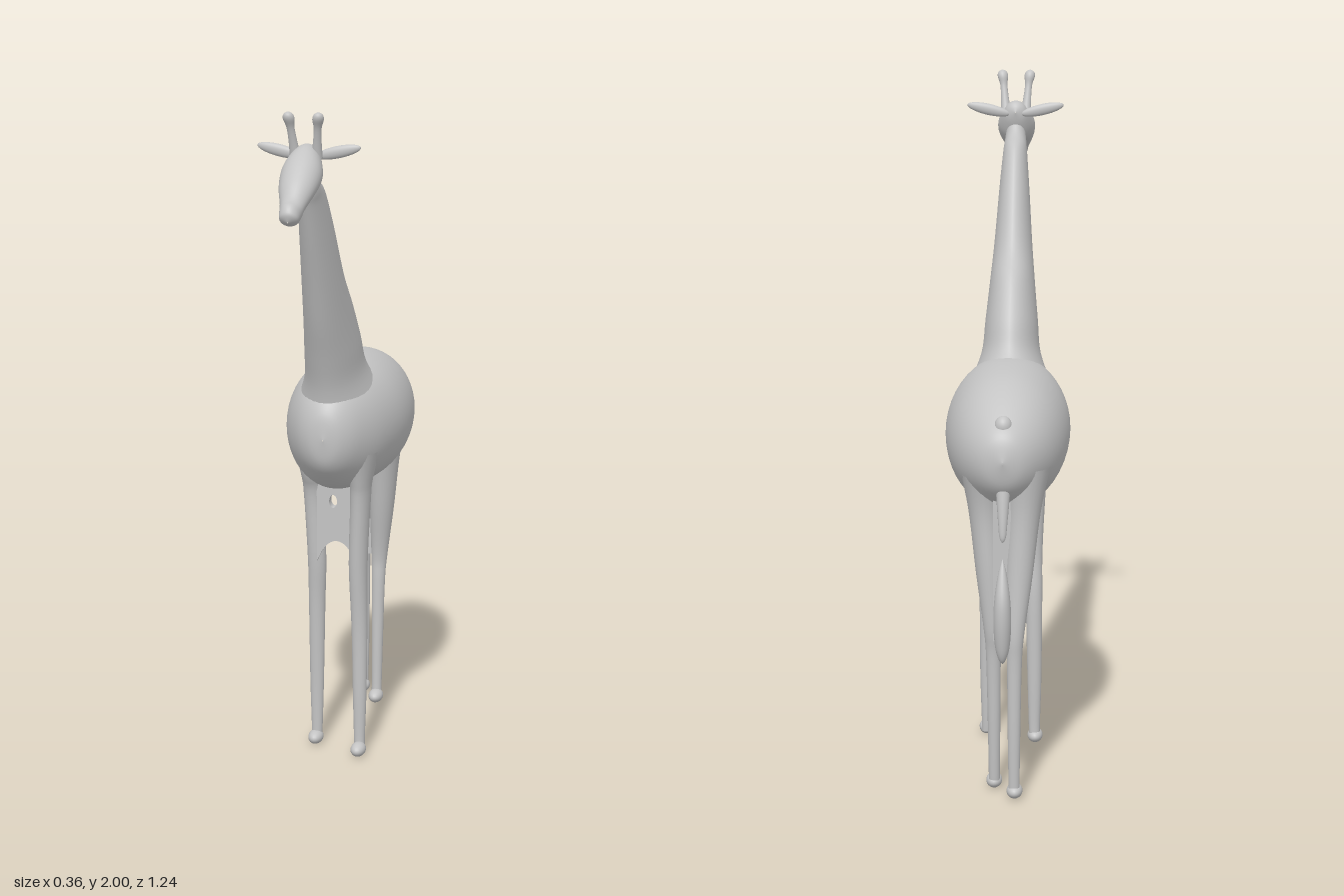
import * as THREE from 'three';

const hide = new THREE.MeshStandardMaterial({ color: 0xc4c4c4 });
hide.name = 'plain grey';

// Smooth skin over elliptical rings; a row is [cx, cy, cz, half width in x, second half axis y, z]
function loft(rows, steps = 5, sides = 32) {
  const first = rows[0], last = rows[rows.length - 1], mid = rows[rows.length >> 1];
  const flip = (last[2] - first[2]) * mid[4] - (last[1] - first[1]) * mid[5] < 0 ? -1 : 1;
  const at = (i) => rows[Math.max(0, Math.min(rows.length - 1, i))];
  const rings = [];
  for (let i = 0; i < rows.length - 1; i++) {
    for (let s = 0; s < steps; s++) {
      const t = s / steps;
      rings.push(first.map((_, k) => {
        const [a, b, c, d] = [at(i - 1)[k], at(i)[k], at(i + 1)[k], at(i + 2)[k]];
        return b + 0.5 * t * (c - a + t * (2 * a - 5 * b + 4 * c - d + t * (3 * (b - c) + d - a)));
      }));
    }
  }
  rings.push(last);
  const pos = [], index = [];
  rings.forEach(([x, y, z, w, ay, az], i) => {
    for (let j = 0; j < sides; j++) {
      const c = Math.cos((j / sides) * Math.PI * 2), s = flip * Math.sin((j / sides) * Math.PI * 2);
      pos.push(x + w * c, y + ay * s, z + az * s);
      if (i === rings.length - 1) continue;
      const a = i * sides + j, b = i * sides + ((j + 1) % sides);
      index.push(a, b, a + sides, b, b + sides, a + sides);
    }
  });
  const geo = new THREE.BufferGeometry();
  geo.setAttribute('position', new THREE.Float32BufferAttribute(pos, 3));
  geo.setIndex(index);
  geo.computeVertexNormals();
  return geo;
}

// Ring given by its two outline points in the side plane and its half width
const span = ([z1, y1, z2, y2, w]) => [0, (y1 + y2) / 2, (z1 + z2) / 2, w, (y1 - y2) / 2, (z1 - z2) / 2];
// Horizontal ring
const level = ([x, y, z, rx, rz]) => [x, y, z, rx, 0, rz];

export function createModel() {
  const group = new THREE.Group();
  const add = (name, geo) => {
    const mesh = new THREE.Mesh(geo, hide);
    mesh.name = name;
    group.add(mesh);
    return mesh;
  };
  const blob = (name, x, y, z, rx, ry, rz) => {
    const mesh = add(name, new THREE.SphereGeometry(1, 24, 16));
    mesh.position.set(x, y, z);
    mesh.scale.set(rx, ry, rz);
    return mesh;
  };

  // Barrel body: z, top, bottom, half width
  add('body', loft([
    [0.2, 1.025, 1.02, 0.001], [0.187, 1.1, 0.945, 0.05], [0.14, 1.16, 0.89, 0.098],
    [0.05, 1.19, 0.838, 0.143], [-0.08, 1.205, 0.818, 0.173], [-0.2, 1.205, 0.807, 0.18],
    [-0.33, 1.19, 0.81, 0.168], [-0.43, 1.157, 0.832, 0.142], [-0.51, 1.105, 0.872, 0.102],
    [-0.557, 1.06, 0.92, 0.058], [-0.575, 0.995, 0.99, 0.001],
  ].map(([z, t, b, w]) => span([z, t, z, b, w])), 6, 48));
  blob('tailBump', 0, 1.085, -0.515, 0.025, 0.03, 0.025);

  // Neck: front z, y, back z, y, half width
  add('neck', loft([
    [0.16, 1.05, -0.19, 1.15, 0.125], [0.18, 1.16, -0.12, 1.225, 0.088],
    [0.215, 1.26, -0.075, 1.31, 0.078], [0.26, 1.37, 0, 1.415, 0.067],
    [0.305, 1.49, 0.085, 1.505, 0.057], [0.355, 1.62, 0.19, 1.67, 0.046],
    [0.395, 1.725, 0.27, 1.775, 0.037], [0.41, 1.76, 0.335, 1.81, 0.033],
    [0.425, 1.8, 0.365, 1.84, 0.028], [0.43, 1.83, 0.39, 1.87, 0.022],
  ].map(span)));

  // Head: top z, y, bottom z, y, half width
  add('head', loft([
    [0.355, 1.877, 0.355, 1.873, 0.001], [0.37, 1.905, 0.365, 1.835, 0.03],
    [0.42, 1.905, 0.39, 1.79, 0.048], [0.475, 1.88, 0.43, 1.777, 0.057],
    [0.535, 1.83, 0.48, 1.762, 0.05], [0.577, 1.785, 0.535, 1.737, 0.035],
    [0.605, 1.772, 0.56, 1.715, 0.03], [0.62, 1.75, 0.59, 1.712, 0.024],
    [0.616, 1.728, 0.614, 1.724, 0.001],
  ].map(span)));

  for (const s of [1, -1]) {
    const side = s > 0 ? 'left' : 'right';
    add(side + 'Horn', loft([
      [s * 0.03, 1.87, 0.395, 0.016, 0.016], [s * 0.034, 1.915, 0.408, 0.012, 0.012],
      [s * 0.038, 1.955, 0.42, 0.011, 0.011], [s * 0.041, 1.98, 0.428, 0.016, 0.016],
      [s * 0.042, 1.994, 0.431, 0.012, 0.012], [s * 0.042, 2, 0.431, 0.001, 0.001],
    ].map(level), 4, 20));
    const ear = blob(side + 'Ear', s * 0.082, 1.884, 0.363, 0.066, 0.017, 0.011);
    ear.rotation.z = s * 0.22;
  }

  // Legs: x, y, z, x radius, z radius, in a walking pose
  const leg = (name, rows, footX, footZ) => {
    add(name, loft(rows.map(level), 5, 24));
    blob(name + 'Hoof', footX, 0.021, footZ, 0.023, 0.021, 0.036);
  };
  leg('leftFrontLeg', [
    [0.075, 0.96, 0.035, 0.06, 0.085], [0.078, 0.87, 0.037, 0.035, 0.055], [0.076, 0.8, 0.033, 0.03, 0.045],
    [0.068, 0.6, 0.027, 0.028, 0.034], [0.071, 0.4, 0.021, 0.024, 0.023], [0.073, 0.2, 0.025, 0.021, 0.019],
    [0.073, 0.06, 0.027, 0.017, 0.016], [0.074, 0.015, 0.03, 0.016, 0.016],
  ], 0.075, 0.053);
  leg('rightFrontLeg', [
    [-0.075, 0.96, -0.005, 0.06, 0.085], [-0.078, 0.87, -0.005, 0.035, 0.055], [-0.076, 0.8, -0.01, 0.03, 0.036],
    [-0.068, 0.6, -0.014, 0.028, 0.026], [-0.071, 0.45, -0.027, 0.025, 0.024], [-0.073, 0.2, -0.033, 0.021, 0.018],
    [-0.073, 0.06, -0.033, 0.017, 0.015], [-0.074, 0.015, -0.033, 0.016, 0.016],
  ], -0.075, -0.023);
  leg('leftHindLeg', [
    [0.06, 0.96, -0.42, 0.07, 0.1], [0.055, 0.83, -0.428, 0.048, 0.064], [0.043, 0.65, -0.445, 0.038, 0.045],
    [0.033, 0.49, -0.458, 0.026, 0.026], [0.031, 0.4, -0.452, 0.021, 0.02], [0.03, 0.2, -0.444, 0.018, 0.018],
    [0.03, 0.06, -0.437, 0.016, 0.016], [0.03, 0.015, -0.433, 0.016, 0.016],
  ], 0.031, -0.418);
  leg('rightHindLeg', [
    [-0.06, 0.96, -0.45, 0.07, 0.08], [-0.055, 0.83, -0.462, 0.048, 0.056], [-0.043, 0.65, -0.487, 0.038, 0.038],
    [-0.033, 0.49, -0.509, 0.026, 0.027], [-0.031, 0.4, -0.515, 0.021, 0.019], [-0.03, 0.2, -0.518, 0.018, 0.016],
    [-0.03, 0.06, -0.516, 0.016, 0.015], [-0.03, 0.015, -0.514, 0.016, 0.016],
  ], -0.031, -0.505);

  // Webs of skin between the upper legs, arched below
  const web = (name, w, top, foot, arch, z, depth, hole) => {
    const shape = new THREE.Shape();
    shape.moveTo(-w, top);
    shape.lineTo(-w, foot);
    shape.bezierCurveTo(-w * 0.45, arch + 0.01, w * 0.45, arch + 0.01, w, foot);
    shape.lineTo(w, top);
    if (hole) shape.holes.push(new THREE.Path().absellipse(-0.01, 0.79, 0.012, 0.02, 0, Math.PI * 2));
    const geo = new THREE.ExtrudeGeometry(shape, { depth, bevelEnabled: false, curveSegments: 16 });
    add(name, geo).position.z = z - depth / 2;
  };
  web('frontLegWeb', 0.06, 0.9, 0.6, 0.68, 0.008, 0.03, true);
  web('hindLegWeb', 0.03, 0.9, 0.46, 0.48, -0.483, 0.036, false);

  // Tail stump and hanging tuft
  add('tail', loft([
    [0, 0.94, -0.525, 0.022, 0.02], [0, 0.88, -0.538, 0.018, 0.018], [0, 0.82, -0.552, 0.013, 0.013],
    [0, 0.78, -0.56, 0.009, 0.008], [0, 0.765, -0.562, 0.001, 0.001],
  ].map(level), 4, 20));
  add('tailTuft', loft([
    [0, 0.72, -0.57, 0.001, 0.001], [0, 0.68, -0.577, 0.012, 0.014], [0, 0.61, -0.588, 0.022, 0.029],
    [0, 0.54, -0.588, 0.025, 0.033], [0, 0.47, -0.585, 0.02, 0.026], [0, 0.435, -0.585, 0.01, 0.014],
    [0, 0.423, -0.585, 0.001, 0.001],
  ].map(level), 4, 20));

  return group;
}
